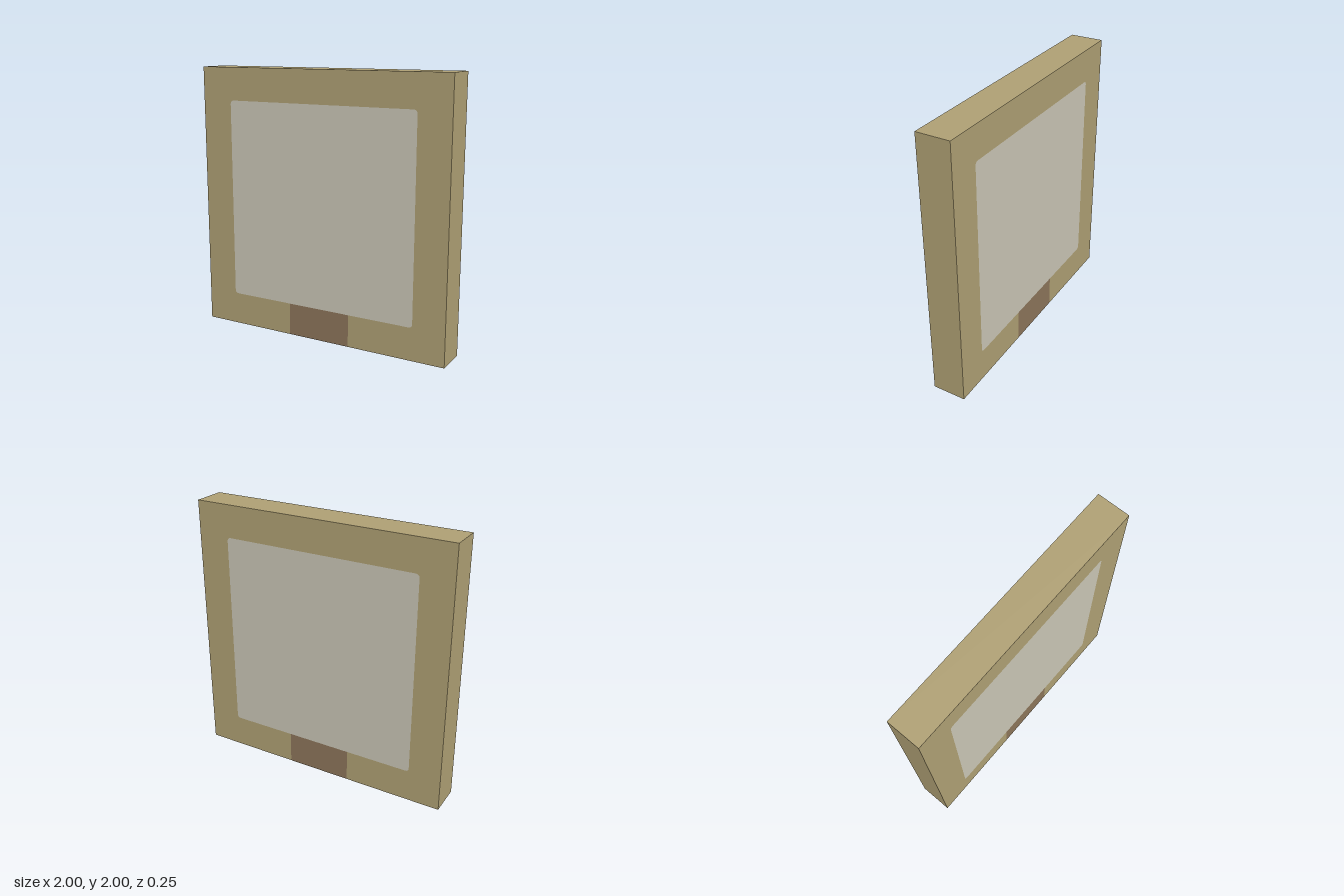
import * as THREE from 'three';

const DEPTH = 0.25;         // thickness of the whole panel
const HALF = 0.755;         // half width of the pane
const LOW = 0.245, HIGH = 1.755;
const R = 0.03;             // pane corner radius
const TAB = 0.25;           // half width of the base block

// Pane outline, clockwise from the bottom edge at -startX round to +startX
function tracePane(path, startX) {
  path.lineTo(-startX, LOW);
  path.lineTo(-HALF + R, LOW);
  path.quadraticCurveTo(-HALF, LOW, -HALF, LOW + R);
  path.lineTo(-HALF, HIGH - R);
  path.quadraticCurveTo(-HALF, HIGH, -HALF + R, HIGH);
  path.lineTo(HALF - R, HIGH);
  path.quadraticCurveTo(HALF, HIGH, HALF, HIGH - R);
  path.lineTo(HALF, LOW + R);
  path.quadraticCurveTo(HALF, LOW, HALF - R, LOW);
  path.lineTo(startX, LOW);
}

function slab(name, shape, material) {
  const geometry = new THREE.ExtrudeGeometry(shape, { depth: DEPTH, bevelEnabled: false, curveSegments: 6 });
  geometry.translate(0, 0, -DEPTH / 2);
  const mesh = new THREE.Mesh(geometry, material);
  mesh.name = name;
  return mesh;
}

export function createModel() {
  const group = new THREE.Group();
  group.name = 'framedPanel';

  const frameMaterial = new THREE.MeshStandardMaterial({ color: 0xafa074 });
  frameMaterial.name = 'tan frame';
  const paneMaterial = new THREE.MeshStandardMaterial({ color: 0xcac6b6 });
  paneMaterial.name = 'pale pane';
  const blockMaterial = new THREE.MeshStandardMaterial({ color: 0x8c755a });
  blockMaterial.name = 'brown block';

  // Square frame, open for the pane and for the block below it
  const frame = new THREE.Shape();
  frame.moveTo(-1, 0);
  frame.lineTo(-TAB, 0);
  tracePane(frame, TAB);
  frame.lineTo(TAB, 0);
  frame.lineTo(1, 0);
  frame.lineTo(1, 2);
  frame.lineTo(-1, 2);
  frame.closePath();
  group.add(slab('frame', frame, frameMaterial));

  // Round-cornered pane, flush with both faces
  const pane = new THREE.Shape();
  pane.moveTo(0, LOW);
  tracePane(pane, TAB);
  pane.closePath();
  group.add(slab('pane', pane, paneMaterial));

  // Block let into the bottom rail, flush with both faces
  const block = new THREE.Mesh(new THREE.BoxGeometry(TAB * 2, LOW, DEPTH), blockMaterial);
  block.name = 'baseBlock';
  block.position.y = LOW / 2;
  group.add(block);

  return group;
}
